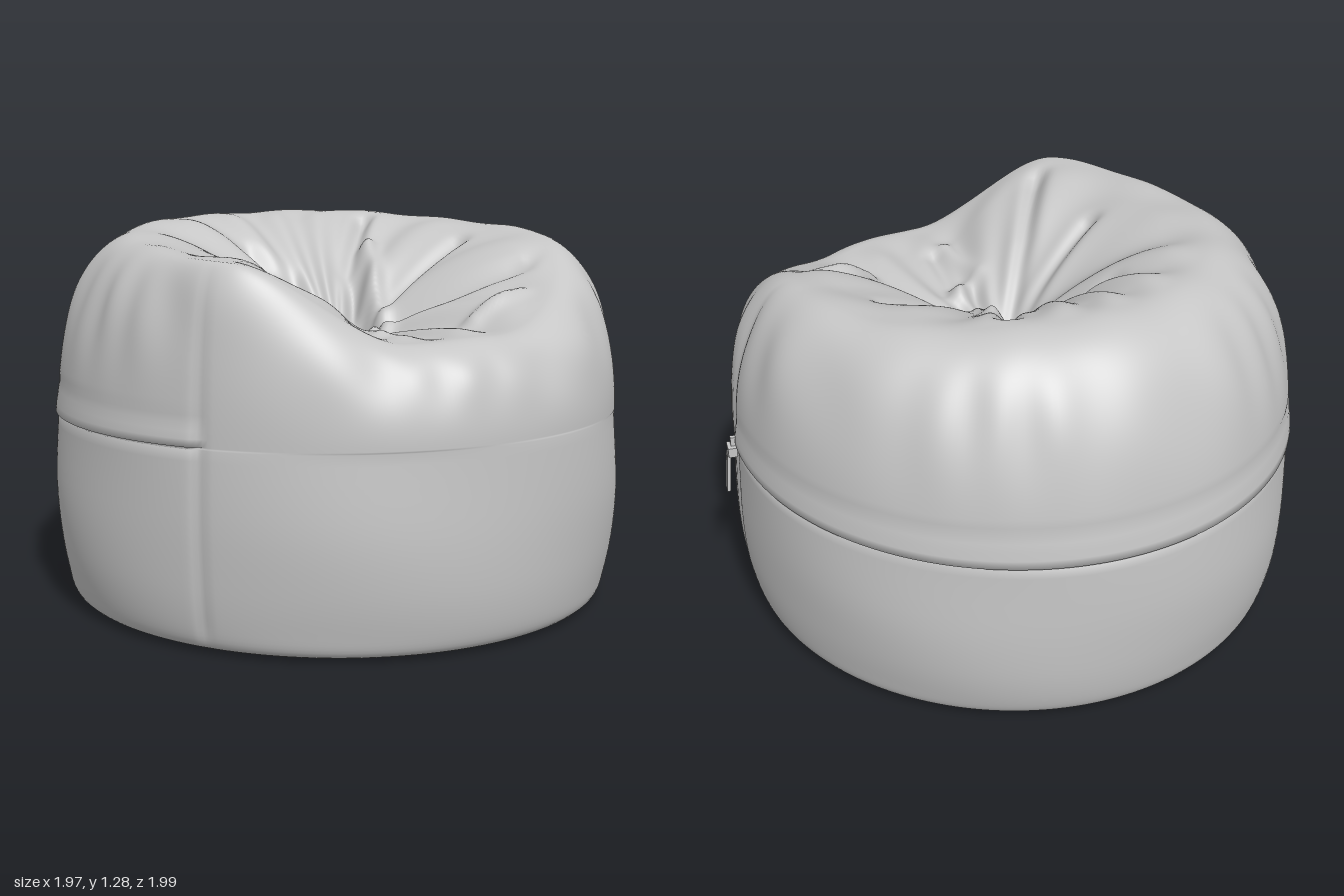
import * as THREE from 'three';

const { smoothstep, clamp, degToRad } = THREE.MathUtils;
const COLS = 320;
const SEAM_RIGHT = degToRad(74), SEAM_LEFT = degToRad(312);
const gauss = (d, w) => Math.exp(-(d * d) / (w * w));

// Lower wall profile (radius, height), up to the band seam
const WALL = new THREE.SplineCurve([[0.9, 0.006], [0.945, 0.025], [0.968, 0.09], [0.988, 0.22],
  [0.996, 0.4], [0.985, 0.64]].map(p => new THREE.Vector2(...p))).getPoints(24);

// Main folds of the seat: height, then a path of x, z pairs
const FOLDS = [
  [-0.05, 0, 0.05, -0.28, 0.33, -0.5, 0.58],
  [0.03, -0.1, 0.6, -0.09, 0.38, 0.03, 0.31],
  [-0.03, -0.04, 0.58, 0, 0.4],
  [-0.06, 0.05, 0.15, 0.13, -0.2, 0.3, -0.45],
  [0.04, 0.1, 0.18, 0.23, -0.25],
  [-0.045, 0, 0.02, -0.09, -0.18, -0.22, -0.26],
  [-0.04, 0, 0.05, -0.45, 0.18],
  [-0.035, 0.05, 0.07, 0.5, -0.06],
  [-0.035, 0.1, 0.12, 0.56, 0.36, 0.74, 0.3],
  [0.03, 0.27, 0.52, 0.46, 0.5],
];

// Distance from a point to the segment between two others
function segmentDistance(x, z, [x1, z1, x2, z2]) {
  const dx = x2 - x1, dz = z2 - z1;
  const t = clamp(((x - x1) * dx + (z - z1) * dz) / (dx * dx + dz * dz), 0, 1);
  return Math.hypot(x - x1 - t * dx, z - z1 - t * dz);
}

function foldHeight(x, z) {
  let sum = 0;
  for (const [height, ...path] of FOLDS) {
    let nearest = Infinity;
    for (let k = 0; k + 3 < path.length; k += 2) {
      nearest = Math.min(nearest, segmentDistance(x, z, path.slice(k, k + 4)));
    }
    sum += height * gauss(nearest, 0.035);
  }
  return sum;
}

// Rim height: raised at the back, with a lopsided dip at the front
function rimHeight(a) {
  const deg = ((a * 180 / Math.PI + 180) % 360) - 180;
  const dip = smoothstep(deg, -44, -8) * (1 - smoothstep(deg, 15, 80));
  return 1.235 - 0.045 * Math.cos(a) - 0.23 * dip + 0.006 * Math.sin(9 * a) * Math.sin(4 * a + 1);
}

// Rim radius: wider at the front, with a pushed-out corner on one side
const rimRadius = a => 0.715 + 0.085 * Math.cos(a) + 0.1 * gauss(a - degToRad(315), 0.3);

// All points of one upright section, from base centre to seat centre
function section(a) {
  const points = [];
  const sin = Math.sin(a), cos = Math.cos(a);
  const back = smoothstep(a, SEAM_RIGHT - 0.02, SEAM_RIGHT + 0.02)
    * (1 - smoothstep(a, SEAM_LEFT - 0.02, SEAM_LEFT + 0.02));
  const seamY = 0.64 + 0.018 * cos;
  const rimY = rimHeight(a), rimR = rimRadius(a);
  const groove = 0.01 * (gauss(a - SEAM_RIGHT, 0.02) + gauss(a - SEAM_LEFT, 0.02));
  const add = (r, y) => points.push(0.985 * r * sin, y, r * cos);

  // Flat base and lower wall
  add(0.001, 0);
  add(0.5, 0);
  add(0.85, 0);
  for (const p of WALL) {
    const wave = smoothstep(p.y, 0, 0.1) * (0.003 * Math.sin(5 * a + 9 * p.y) - groove);
    add(p.x + wave, p.y * seamY / 0.64);
  }
  // Band seam, then the upper wall rounding over to the rim
  add(0.985 - 0.014 * back - groove, seamY + 0.004);
  for (let k = 0; k <= 36; k++) {
    const t = (k / 36) * Math.PI / 2;
    const y = seamY + 0.008 + (rimY - seamY - 0.008) * Math.sin(t);
    const lip = back * (0.01 * gauss(y - seamY, 0.06) - 0.005 * gauss(y - 0.74, 0.012));
    const pucker = Math.sin(2 * t) ** 4
      * (0.006 * Math.sin(23 * a + 2 * Math.sin(5 * a)) + 0.004 * Math.sin(11 * a + 8 * y));
    add(rimR + (0.985 - rimR) * Math.cos(t) + lip + pucker - groove * Math.cos(t), y);
  }
  // Seat hollow, sinking to a gathered centre with radial pleats
  const floor = 0.85, rx = 0.985 * rimR * sin, rz = rimR * cos;
  for (let k = 1; k <= 52; k++) {
    const s = Math.max(1 - k / 52, 0.001), u = s ** 1.2;
    const x = rx * s, z = 0.05 + (rz - 0.05) * s;
    const fade = smoothstep(1 - s, 0, 0.2);
    const pleat = 0.012 * Math.sin(13 * a + 3 * Math.sin(2 * a) + 4 * s) * smoothstep(s, 0.05, 0.35);
    points.push(x, floor + (rimY - floor) * (2 * u - u * u) + fade * (foldHeight(x, z) + pleat), z);
  }
  return points;
}

function bagGeometry() {
  const position = [], index = [];
  for (let i = 0; i < COLS; i++) position.push(...section((i / COLS) * Math.PI * 2));
  const rows = position.length / 3 / COLS;
  for (let i = 0; i < COLS; i++) {
    for (let j = 0; j < rows - 1; j++) {
      const p = i * rows + j, q = ((i + 1) % COLS) * rows + j;
      index.push(p, q, q + 1, p, q + 1, p + 1);
    }
  }
  const geometry = new THREE.BufferGeometry();
  geometry.setAttribute('position', new THREE.Float32BufferAttribute(position, 3));
  geometry.setIndex(index);
  geometry.computeVertexNormals();
  return geometry;
}

// Zip slider with a hanging, slotted pull
function zip(material) {
  const group = new THREE.Group();
  group.name = 'zip';
  const slider = new THREE.Mesh(new THREE.BoxGeometry(0.05, 0.035, 0.03), material);
  slider.name = 'zipSlider';
  slider.position.set(0, 0.61, 0.012);
  const stem = new THREE.Mesh(new THREE.BoxGeometry(0.016, 0.04, 0.02), material);
  stem.name = 'zipStem';
  stem.position.set(0, 0.64, 0.005);

  const shape = new THREE.Shape();
  shape.moveTo(-0.016, 0).lineTo(-0.022, -0.145).lineTo(0.022, -0.145).lineTo(0.016, 0).closePath();
  const slot = new THREE.Path();
  slot.absellipse(0, -0.022, 0.008, 0.01, 0, Math.PI * 2);
  shape.holes.push(slot);
  const pull = new THREE.Mesh(new THREE.ExtrudeGeometry(shape, { depth: 0.012, bevelEnabled: false }), material);
  pull.name = 'zipPull';
  pull.position.set(0, 0.6, 0.018);
  pull.rotation.x = -0.1;
  group.add(slider, stem, pull);
  group.position.set(0.938, 0, 0.27);
  group.rotation.y = SEAM_RIGHT;
  return group;
}

export function createModel() {
  const fabric = new THREE.MeshStandardMaterial({ color: 0xc6c6c6 });
  fabric.name = 'grey fabric';
  const model = new THREE.Group();
  model.name = 'beanBagChair';
  const bag = new THREE.Mesh(bagGeometry(), fabric);
  bag.name = 'bag';
  model.add(bag, zip(fabric));
  return model;
}
